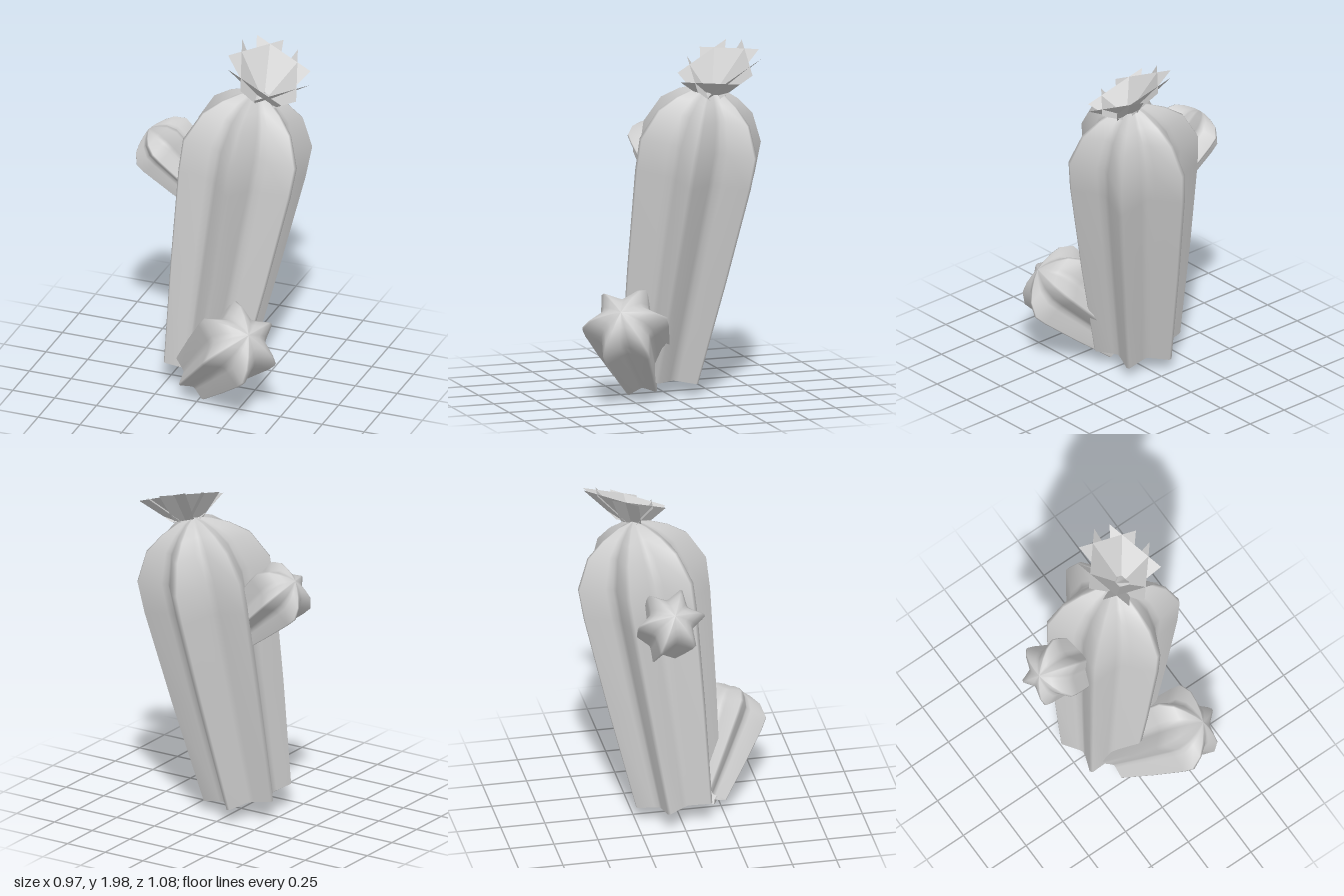
import * as THREE from 'three';

const material = new THREE.MeshStandardMaterial({ color: 0xcccccc, side: THREE.DoubleSide });
const petalMaterial = new THREE.MeshStandardMaterial({ color: 0xcccccc, side: THREE.DoubleSide, flatShading: true });

const RIBS = 6;
// One rib and the groove after it: [angle in degrees, fraction of radius]
const RIB = [[-2, 1], [2, 1], [21, 0.7], [30, 0.65], [39, 0.7]];
// [fraction of height, fraction of full radius]
const PROFILE = [[0, 0.66], [0.36, 0.84], [0.7, 0.985], [0.81, 1], [0.91, 0.78], [0.957, 0.51], [0.987, 0.24], [1, 0]];

// Ribbed stem with an open base and a domed tip, from base to apex
function stem(name, base, apex, radius, phaseDeg) {
  const from = new THREE.Vector3(...base);
  const axis = new THREE.Vector3(...apex).sub(from);
  const length = axis.length();
  const n = RIBS * RIB.length;
  const positions = [], index = [];
  PROFILE.forEach(([t, r], i) => {
    for (let j = 0; j < n; j++) {
      const [offset, scale] = RIB[j % RIB.length];
      const rib = Math.floor(j / RIB.length);
      const a = THREE.MathUtils.degToRad(phaseDeg + (rib * 360) / RIBS + offset);
      const rr = radius * r * scale;
      positions.push(Math.cos(a) * rr, t * length, -Math.sin(a) * rr);
      if (i === PROFILE.length - 1) continue;
      const p = i * n + j, q = i * n + (j + 1) % n;
      index.push(p, q, p + n, q, q + n, p + n);
    }
  });
  const geometry = new THREE.BufferGeometry();
  geometry.setAttribute('position', new THREE.Float32BufferAttribute(positions, 3));
  geometry.setIndex(index);
  geometry.computeVertexNormals();
  const mesh = new THREE.Mesh(geometry, material);
  mesh.name = name;
  mesh.position.copy(from);
  mesh.quaternion.setFromUnitVectors(new THREE.Vector3(0, 1, 0), axis.normalize());
  return mesh;
}

// Tilted cup of six flat petals whose corners cross their neighbours
function flower() {
  const petals = 6;
  const bottom = new THREE.Vector3(0.222, 1.735, -0.215);
  const rim = new THREE.Vector3(0.235, 1.885, -0.25);
  // out: distance of the petal from the axis, side: distance along its edge
  const point = (center, a, out, side) => {
    const x = Math.cos(a) * out - Math.sin(a) * side;
    const z = -Math.sin(a) * out - Math.cos(a) * side;
    return [center.x + x, center.y - 0.33 * x - 0.32 * z, center.z + z];
  };
  const positions = [];
  for (let j = 0; j < petals; j++) {
    const a = THREE.MathUtils.degToRad(20 + (j * 360) / petals);
    const b0 = point(bottom, a, 0.025, -0.08), b1 = point(bottom, a, 0.025, 0.08);
    const t0 = point(rim, a, 0.155, -0.175), t1 = point(rim, a, 0.155, 0.175);
    positions.push(...b0, ...b1, ...t0, ...b1, ...t1, ...t0);
  }
  const geometry = new THREE.BufferGeometry();
  geometry.setAttribute('position', new THREE.Float32BufferAttribute(positions, 3));
  geometry.computeVertexNormals();
  const mesh = new THREE.Mesh(geometry, petalMaterial);
  mesh.name = 'flower';
  return mesh;
}

export function createModel() {
  const group = new THREE.Group();
  group.name = 'cactus';
  group.add(
    stem('mainStem', [-0.04, 0.115, 0], [0.18, 1.765, -0.21], 0.375, 37),
    stem('upperArm', [-0.04, 1.1, -0.12], [-0.42, 1.47, -0.095], 0.19, 37),
    stem('lowerArm', [-0.032, 0.12, 0.115], [0.362, 0.555, 0.38], 0.24, 7),
    flower()
  );
  return group;
}
